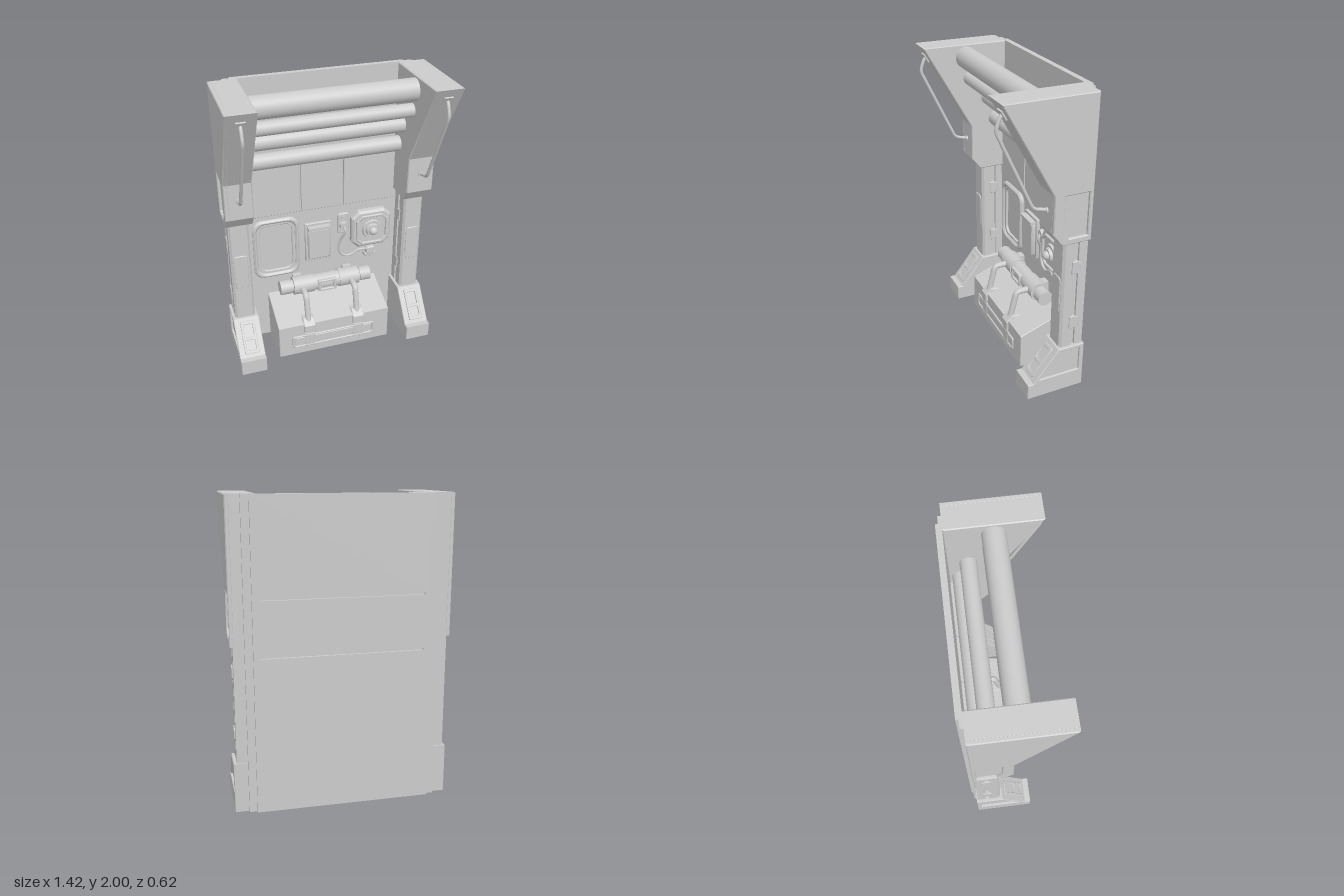
import * as THREE from 'three';
import { toCreasedNormals } from 'three/addons/utils/BufferGeometryUtils.js';

const grey = new THREE.MeshStandardMaterial({ color: 0xcccccc });
const V = (x, y, z) => new THREE.Vector3(x, y, z);
const WALL = -0.275; // front face of the back wall

function add(parent, name, geometry, x = 0, y = 0, z = 0) {
  const mesh = new THREE.Mesh(geometry, grey);
  mesh.name = name;
  mesh.position.set(x, y, z);
  parent.add(mesh);
  return mesh;
}

// box given by its limits
function box(parent, name, x0, x1, y0, y1, z0, z1) {
  return add(parent, name, new THREE.BoxGeometry(x1 - x0, y1 - y0, z1 - z0), (x0 + x1) / 2, (y0 + y1) / 2, (z0 + z1) / 2);
}

const poly = (pts) => new THREE.Shape(pts.map(([a, b]) => new THREE.Vector2(a, b)));

// rectangle with cut corners, or round ones
function rect(x0, x1, y0, y1, r = 0, round = true) {
  if (!r) return poly([[x0, y0], [x1, y0], [x1, y1], [x0, y1]]);
  const pts = [], n = round ? 8 : 1;
  const corners = [[x1 - r, y0 + r, -90], [x1 - r, y1 - r, 0], [x0 + r, y1 - r, 90], [x0 + r, y0 + r, 180]];
  for (const [cx, cy, a] of corners)
    for (let i = 0; i <= n; i++) {
      const t = THREE.MathUtils.degToRad(a + (90 * i) / n);
      pts.push([cx + r * Math.cos(t), cy + r * Math.sin(t)]);
    }
  return poly(pts);
}

function extrude(shape, depth, bevel, holes) {
  shape.holes.push(...holes);
  const geometry = new THREE.ExtrudeGeometry(shape, {
    depth: depth - 2 * bevel, bevelEnabled: bevel > 0, bevelSize: bevel, bevelThickness: bevel,
    bevelOffset: -bevel, bevelSegments: 1,
  });
  geometry.translate(0, 0, bevel);
  return toCreasedNormals(geometry, 0.45);
}

// plate facing +z, drawn in (x, y)
function plate(parent, name, shape, z0, z1, bevel = 0, holes = []) {
  return add(parent, name, extrude(shape, z1 - z0, bevel, holes), 0, 0, z0);
}

// profile drawn in (z, y), spanning between two x values
function profile(parent, name, shape, xa, xb, bevel = 0, holes = []) {
  const geometry = extrude(shape, Math.abs(xb - xa), bevel, holes).rotateY(-Math.PI / 2);
  return add(parent, name, geometry, Math.max(xa, xb));
}

// bar along x
function rod(parent, name, x0, x1, y, z, r) {
  const geometry = new THREE.CylinderGeometry(r, r, x1 - x0, 32).rotateZ(Math.PI / 2);
  return add(parent, name, geometry, (x0 + x1) / 2, y, z);
}

// stub along z
function disc(parent, name, x, y, z0, z1, r0, r1 = r0) {
  const geometry = new THREE.CylinderGeometry(r1, r0, z1 - z0, 32).rotateX(Math.PI / 2);
  return add(parent, name, geometry, x, y, (z0 + z1) / 2);
}

// bent pipe with tight elbows
function pipe(parent, name, pts, r) {
  const path = new THREE.CurvePath();
  let last = pts[0];
  for (let i = 1; i < pts.length - 1; i++) {
    const toward = (q) => pts[i].clone().add(q.clone().sub(pts[i]).setLength(0.03));
    const a = toward(pts[i - 1]), b = toward(pts[i + 1]);
    path.add(new THREE.LineCurve3(last, a));
    path.add(new THREE.QuadraticBezierCurve3(a, pts[i], b));
    last = b;
  }
  path.add(new THREE.LineCurve3(last, pts[pts.length - 1]));
  return add(parent, name, new THREE.TubeGeometry(path, 60, r, 12));
}

function buildWall(g) {
  box(g, 'wallSlab', -0.62, 0.62, 0, 2, -0.295, WALL);
  // outer back skin with two seams
  const seams = [1.02, 1.38].map((y) => rect(-0.52, 0.52, y - 0.006, y + 0.006));
  plate(g, 'backSkin', rect(-0.57, 0.57, 0, 2), -0.312, -0.295, 0, seams);
  // raised upper panels
  for (const [a, b] of [[-0.54, -0.16], [-0.15, 0.145], [0.155, 0.54]])
    plate(g, 'upperPanel', rect(a, b, 1.02, 1.38), WALL, -0.256, 0.003);
  // overhead tubes
  for (const [y, z, r] of [[1.915, 0.012, 0.072], [1.77, -0.012, 0.045], [1.622, -0.148, 0.053], [1.463, -0.202, 0.053]])
    rod(g, 'overheadTube', -0.54, 0.54, y, z, r);
}

function buildPillar(g, s) {
  const X = (x) => s * x;
  const span = (a, b) => [Math.min(s * a, s * b), Math.max(s * a, s * b)];
  // upper bracket with a recessed outer panel
  const bracket = () => poly([[-0.275, 1.09], [-0.08, 1.09], [-0.02, 1.17], [-0.02, 1.42], [0.305, 2], [-0.275, 2]]);
  const pocket = poly([[-0.25, 1.13], [-0.125, 1.13], [-0.09, 1.18], [-0.09, 1.41], [-0.25, 1.41]]);
  profile(g, 'bracket', bracket(), X(0.525), X(0.69), 0.006);
  profile(g, 'bracketSide', bracket(), X(0.68), X(0.71), 0.006, [pocket]);
  // bracket handle and mounts
  pipe(g, 'bracketHandle', [V(X(0.62), 1.93, 0.25), V(X(0.62), 1.91, 0.275), V(X(0.62), 1.83, 0.303),
    V(X(0.62), 1.325, 0.07), V(X(0.62), 1.3, -0.03)], 0.011);
  box(g, 'handleMount', ...span(0.59, 0.65), -0.03, 0.03, -0.008, 0.008).position.set(X(0.62), 1.92, 0.262);
  g.children[g.children.length - 1].rotation.x = 0.51;
  disc(g, 'handleFoot', X(0.62), 1.3, -0.025, -0.01, 0.02);

  // column: front, core and rear rails
  const [c0, c1] = span(0.55, 0.69);
  const front = poly([[c0, -0.185], [c0, -0.12], [c0 + 0.015, -0.105], [c1 - 0.015, -0.105], [c1, -0.12], [c1, -0.185]]);
  const frontGeo = extrude(front, 0.78, 0, []).rotateX(Math.PI / 2).scale(1, 1, 1);
  add(g, 'columnFront', frontGeo, 0, 1.1, 0);
  box(g, 'columnCore', ...span(0.565, 0.675), 0.32, 1.1, -0.23, -0.17);
  box(g, 'columnRear', c0, c1, 0.32, 1.1, -0.266, -0.21);
  plate(g, 'columnPad', rect(...span(0.575, 0.67), 0.58, 0.84, 0.025), -0.11, -0.098, 0.004);
  // clips bridging the side groove
  for (const y of [0.91, 0.51])
    profile(g, 'columnClip', poly([[-0.225, y - 0.03], [-0.2, y - 0.045], [-0.165, y - 0.045], [-0.165, y + 0.045],
      [-0.2, y + 0.045], [-0.225, y + 0.03]]), X(0.542), X(0.698), 0.004);

  // foot with side pocket
  const foot = () => poly([[-0.275, 0], [0.12, 0], [0.12, 0.11], [0.08, 0.11], [-0.09, 0.33], [-0.275, 0.33]]);
  const footPocket = poly([[-0.245, 0.13], [0.04, 0.13], [-0.09, 0.305], [-0.245, 0.305]]);
  profile(g, 'foot', foot(), X(0.53), X(0.695), 0.004);
  profile(g, 'footSide', foot(), X(0.685), X(0.71), 0.004, [footPocket]);
  // sloped frame with two windows
  const windows = [rect(-0.033, 0.033, -0.09, -0.02, 0.008), rect(-0.033, 0.033, 0, 0.09, 0.008)];
  const frame = plate(g, 'footFrame', rect(-0.05, 0.05, -0.115, 0.115, 0.012), 0, 0.014, 0.003, windows);
  frame.position.set(X(0.62), 0.22, -0.006);
  frame.rotation.x = -Math.atan2(0.17, 0.22);
}

function buildChest(g) {
  profile(g, 'chest', poly([[-0.28, 0.01], [0.03, 0.01], [0.03, 0.26], [-0.28, 0.37]]), -0.415, 0.41, 0.004);
  // front pull bar with tabs
  plate(g, 'pullBar', rect(-0.32, 0.3, 0.07, 0.17, 0.02), 0.025, 0.04, 0.004, [rect(-0.305, 0.285, 0.083, 0.157, 0.015)]);
  plate(g, 'pullBarPanel', rect(-0.3, 0.28, 0.088, 0.152, 0.012), 0.025, 0.035, 0.003);
  for (const x of [-0.19, 0.175]) {
    plate(g, 'pullBarTab', rect(x - 0.04, x + 0.04, 0.06, 0.18, 0.008), 0.025, 0.038, 0.003);
    // grip block and pipe
    profile(g, 'gripBlock', poly([[-0.03, 0.2], [0.045, 0.19], [0.045, 0.25], [0, 0.29], [-0.06, 0.29]]), x - 0.042, x + 0.042, 0.005);
    pipe(g, 'gripPipe', [V(x, 0.21, 0.02), V(x, 0.28, -0.005), V(x, 0.455, -0.045), V(x, 0.46, -0.18)], 0.021);
  }
  // padded roll above the chest
  const y = 0.455, z = -0.19;
  rod(g, 'rollCore', -0.3, 0.29, y, z, 0.045);
  for (const [a, b] of [[-0.345, -0.265], [0.25, 0.33]]) rod(g, 'rollEnd', a, b, y, z, 0.052);
  for (const [a, b] of [[-0.25, -0.1], [0.09, 0.24]]) rod(g, 'rollSleeve', a, b, y, z, 0.066);
  rod(g, 'rollCentre', -0.1, 0.09, y, z, 0.059);
  plate(g, 'rollBadge', rect(-0.075, 0.06, 0.41, 0.5, 0.008), -0.15, -0.12, 0.004, [rect(-0.055, 0.04, 0.428, 0.482)]);
  for (const x of [-0.2, 0.18]) box(g, 'rollBracket', x - 0.03, x + 0.03, 0.4, 0.5, -0.28, -0.2);
}

function buildInstruments(g) {
  // rounded window frame
  plate(g, 'windowFrame', rect(-0.505, -0.175, 0.525, 0.99, 0.07), WALL, -0.24, 0.012, [rect(-0.475, -0.205, 0.555, 0.96, 0.06)]);
  plate(g, 'windowLip', rect(-0.478, -0.202, 0.552, 0.963, 0.06), WALL, -0.255, 0.004, [rect(-0.455, -0.225, 0.575, 0.94, 0.05)]);
  // control panel
  plate(g, 'panelBase', rect(-0.13, 0.06, 0.6, 0.91, 0.008), WALL, -0.25, 0.004);
  plate(g, 'panelCover', rect(-0.115, 0.045, 0.63, 0.87, 0.008), -0.255, -0.22, 0.008, [rect(-0.1, 0.03, 0.75, 0.86)]);
  plate(g, 'panelScreen', rect(-0.09, 0.02, 0.76, 0.835), -0.255, -0.232, 0.003);
  box(g, 'panelHood', -0.115, 0.045, 0.87, 0.89, -0.255, -0.21);
  // cable socket
  plate(g, 'socketPlate', rect(0.11, 0.195, 0.79, 0.95, 0.012, false), WALL, -0.25, 0.005);
  disc(g, 'socket', 0.15, 0.86, -0.255, -0.225, 0.03, 0.025);
  disc(g, 'socketLamp', 0.15, 0.92, -0.255, -0.24, 0.015);
  const cable = new THREE.CatmullRomCurve3([V(0.15, 0.86, -0.23), V(0.155, 0.82, -0.215), V(0.13, 0.74, -0.245),
    V(0.12, 0.66, -0.255), V(0.15, 0.605, -0.255), V(0.2, 0.59, -0.255), V(0.27, 0.625, -0.25), V(0.33, 0.63, -0.24)]);
  add(g, 'cable', new THREE.TubeGeometry(cable, 60, 0.009, 10));
  // plug under the dial
  plate(g, 'plug', rect(0.31, 0.4, 0.57, 0.6, 0.006), WALL, -0.225, 0.004);
  plate(g, 'plugBody', rect(0.32, 0.39, 0.59, 0.65, 0.012, false), WALL, -0.22, 0.006);
  // dial housing
  plate(g, 'dialHousing', rect(0.205, 0.5, 0.668, 0.96, 0.05, false), WALL, -0.21, 0.016);
  plate(g, 'dialRim', rect(0.235, 0.47, 0.698, 0.93, 0.04, false), -0.215, -0.195, 0.004, [rect(0.25, 0.455, 0.713, 0.915, 0.035, false)]);
  disc(g, 'dialRing', 0.353, 0.814, -0.215, -0.195, 0.075, 0.068);
  disc(g, 'dialKnob', 0.353, 0.814, -0.2, -0.175, 0.052, 0.045);
  const cap = new THREE.SphereGeometry(0.032, 24, 8, 0, Math.PI * 2, 0, Math.PI / 2).rotateX(Math.PI / 2);
  add(g, 'dialCap', cap, 0.353, 0.814, -0.176);
}

export function createModel() {
  const model = new THREE.Group();
  model.name = 'wallStation';
  const part = (name, build, ...args) => {
    const group = new THREE.Group();
    group.name = name;
    build(group, ...args);
    model.add(group);
  };
  part('wall', buildWall);
  part('leftPillar', buildPillar, 1);
  part('rightPillar', buildPillar, -1);
  part('chest', buildChest);
  part('instruments', buildInstruments);
  return model;
}
